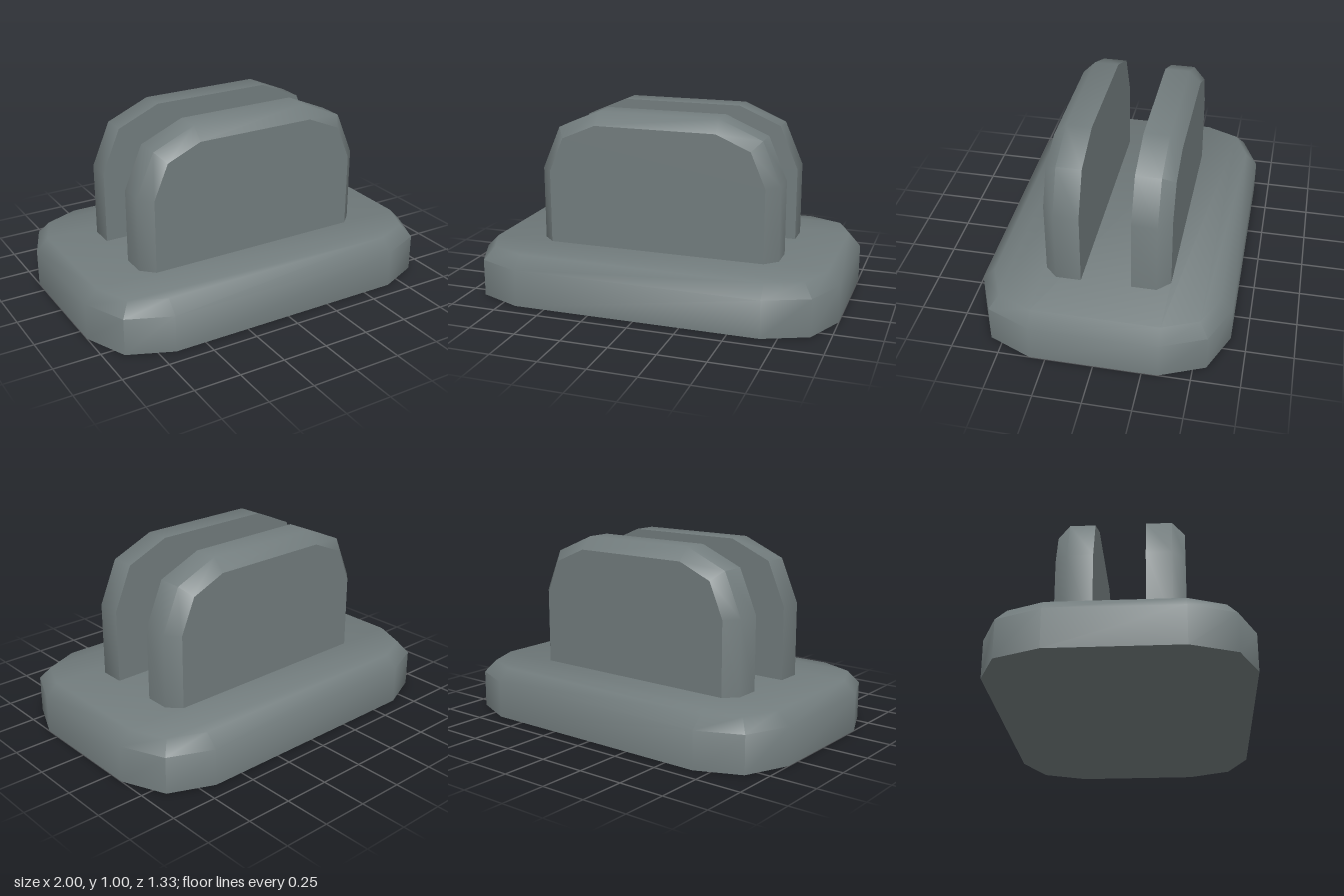
import * as THREE from 'three';
import { mergeGeometries, toCreasedNormals } from 'three/addons/utils/BufferGeometryUtils.js';

const CREASE = THREE.MathUtils.degToRad(50);

// Mirror a right-hand half outline (bottom to top) into a closed loop
const mirrorX = (half) => [...half, ...half.map(([x, y]) => [-x, y]).reverse()];

function geometryFrom(positions) {
  const g = new THREE.BufferGeometry();
  g.setAttribute('position', new THREE.Float32BufferAttribute(positions, 3));
  return g;
}

// Walls through rings of { points, z }, with z rising
function walls(rings) {
  const out = [];
  for (let r = 0; r < rings.length - 1; r++) {
    const lo = rings[r], hi = rings[r + 1], n = lo.points.length;
    for (let i = 0; i < n; i++) {
      const j = (i + 1) % n;
      const a = [...lo.points[i], lo.z], b = [...lo.points[j], lo.z];
      const c = [...hi.points[j], hi.z], d = [...hi.points[i], hi.z];
      out.push(...a, ...b, ...c, ...a, ...c, ...d);
    }
  }
  return geometryFrom(out);
}

// Flat cap made of strips between mirrored points
function cap({ points, z }, up) {
  const out = [], n = points.length;
  const tri = (...ids) => (up ? ids : ids.reverse()).forEach((i) => out.push(...points[i], z));
  for (let i = 0; i < n / 2 - 1; i++) {
    tri(i, i + 1, n - 2 - i);
    tri(i, n - 2 - i, n - 1 - i);
  }
  return geometryFrom(out);
}

// Rounded-corner base, soft bevel around its top
function baseGeometry() {
  const outline = (d) => {
    const k = 1 - d / 0.333;          // corners shrink towards their own centre
    const upper = [[0.667 + 0.333 * k, 0.333], [0.667 + 0.233 * k, 0.333 + 0.233 * k], [0.667, 0.333 + 0.333 * k]];
    return mirrorX([...upper.map(([x, y]) => [x, -y]).reverse(), ...upper]);
  };
  const rings = [
    { points: outline(0), z: 0 },
    { points: outline(0), z: 0.2 },
    { points: outline(0.067), z: 0.267 },
  ];
  const g = mergeGeometries([walls(rings), cap(rings[0], false), cap(rings[2], true)]);
  g.rotateX(-Math.PI / 2);
  return toCreasedNormals(g, CREASE);
}

// Upright plate, bevelled on its outer side only
function plateGeometry() {
  const outline = (d) => {
    const k = 1 - d / 0.333;
    return mirrorX([
      [0.333 + 0.333 * k, 0.25],
      [0.333 + 0.333 * k, 0.667],
      [0.333 + 0.233 * k, 0.667 + 0.233 * k],
      [0.333, 0.667 + 0.333 * k],
    ]);
  };
  const rings = [
    { points: outline(0), z: 0.133 },
    { points: outline(0), z: 0.267 },
    { points: outline(0.067), z: 0.333 },
  ];
  const caps = [cap(rings[0], false), cap(rings[2], true)];
  caps.forEach((c) => c.computeVertexNormals());
  return mergeGeometries([toCreasedNormals(walls(rings), CREASE), ...caps]);
}

export function createModel() {
  const model = new THREE.Group();
  model.name = 'slottedStand';
  const grey = new THREE.MeshStandardMaterial({ color: 0x727c7d });
  grey.name = 'slate grey';

  const base = new THREE.Mesh(baseGeometry(), grey);
  base.name = 'base';
  model.add(base);

  // Front and back plates, bevels facing outwards
  const plate = plateGeometry();
  ['frontPlate', 'backPlate'].forEach((name, i) => {
    const mesh = new THREE.Mesh(plate, grey);
    mesh.name = name;
    mesh.rotation.y = i * Math.PI;
    model.add(mesh);
  });
  return model;
}
